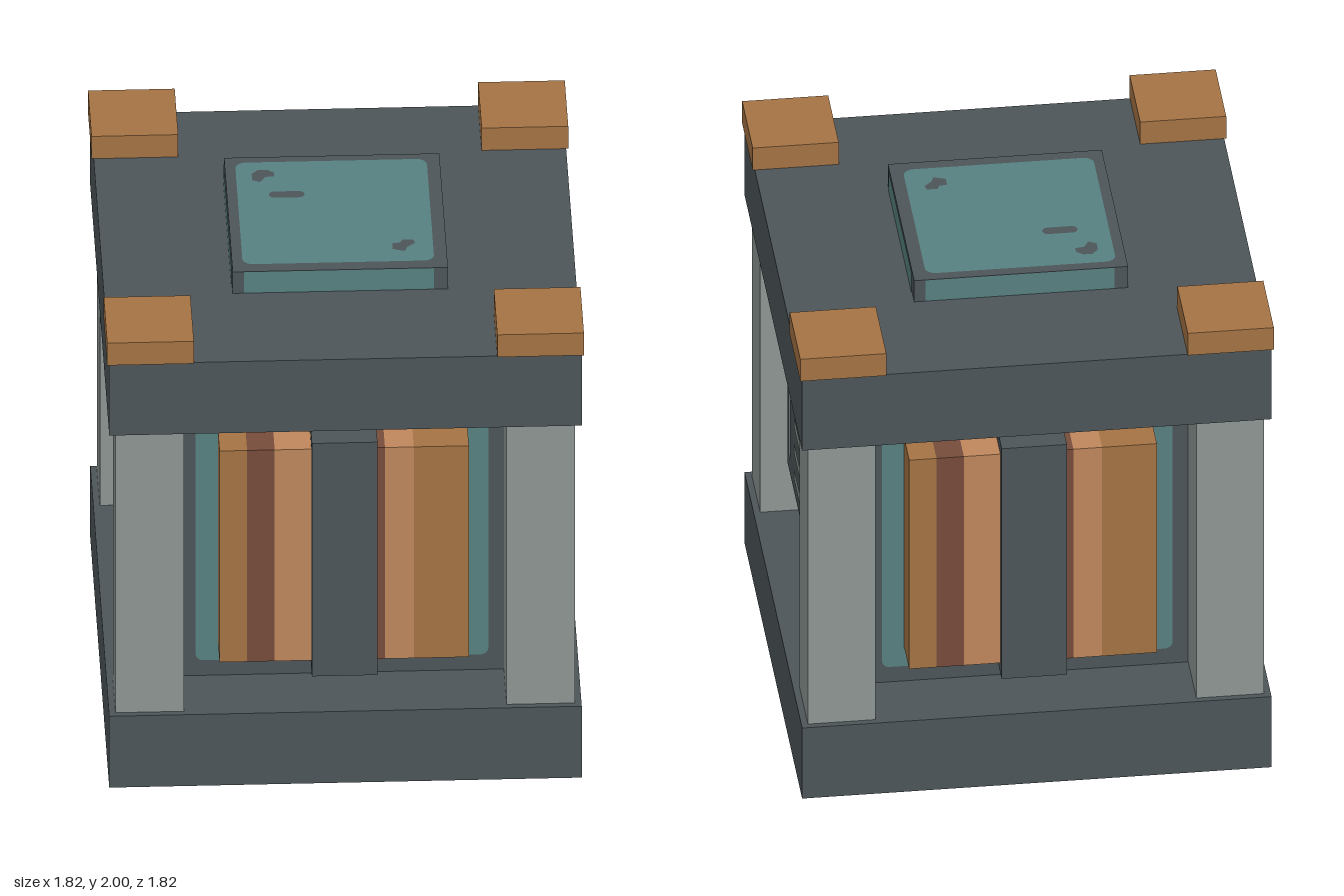
import * as THREE from 'three';

const mat = (name, color) => {
  const m = new THREE.MeshStandardMaterial({ color });
  m.name = name;
  return m;
};

export function createModel() {
  const dark = mat('darkMetal', 0x4c5559);
  const grey = mat('paleMetal', 0x8d9693);
  const teal = mat('tealPanel', 0x578080);
  const copper = mat('copper', 0xa47343);
  const brown = mat('brownCopper', 0x774c3b);
  const light = mat('lightCopper', 0xbf875c);

  const model = new THREE.Group();
  model.name = 'reactorBlock';

  // Box given by its min and max corners
  const box = (parent, name, m, [x0, y0, z0], [x1, y1, z1]) => {
    const g = new THREE.BoxGeometry(x1 - x0, y1 - y0, z1 - z0);
    g.translate((x0 + x1) / 2, (y0 + y1) / 2, (z0 + z1) / 2);
    const mesh = new THREE.Mesh(g, m);
    mesh.name = name;
    parent.add(mesh);
    return mesh;
  };

  // Thin painted face in the local xy plane
  const face = (parent, name, m, shape, z) => {
    const mesh = new THREE.Mesh(new THREE.ShapeGeometry(shape, 4), m);
    mesh.name = name;
    mesh.position.z = z;
    parent.add(mesh);
    return mesh;
  };
  const polygon = (pts) => new THREE.Shape(pts.map(([x, y]) => new THREE.Vector2(x, y)));
  const rounded = (x0, y0, x1, y1, r) => {
    const s = new THREE.Shape();
    s.absarc(x1 - r, y1 - r, r, 0, Math.PI / 2);
    s.absarc(x0 + r, y1 - r, r, Math.PI / 2, Math.PI);
    s.absarc(x0 + r, y0 + r, r, Math.PI, Math.PI * 1.5);
    s.absarc(x1 - r, y0 + r, r, Math.PI * 1.5, Math.PI * 2);
    return s;
  };

  // Slabs and core
  box(model, 'baseSlab', dark, [-0.9, 0, -0.9], [0.9, 0.32, 0.9]);
  box(model, 'topSlab', dark, [-0.9, 1.58, -0.9], [0.9, 1.9, 0.9]);
  box(model, 'core', dark, [-0.62, 0.32, -0.62], [0.62, 1.58, 0.62]);

  // Corner pillars and top corner blocks
  for (const sx of [-1, 1]) {
    for (const sz of [-1, 1]) {
      const span = (a, b, s) => (s > 0 ? [a, b] : [-b, -a]);
      const [px0, px1] = span(0.615, 0.875, sx), [pz0, pz1] = span(0.615, 0.875, sz);
      box(model, 'cornerPillar', grey, [px0, 0.32, pz0], [px1, 1.58, pz1]);
      const [bx0, bx1] = span(0.578, 0.908, sx), [bz0, bz1] = span(0.578, 0.908, sz);
      box(model, 'cornerBlock', copper, [bx0, 1.9, bz0], [bx1, 2, bz1]);
    }
  }

  // Raised lid with teal faces and dark marks
  box(model, 'lid', dark, [-0.41, 1.9, -0.41], [0.41, 1.996, 0.41]);
  const lidTop = new THREE.Group();
  lidTop.name = 'lidTop';
  lidTop.rotation.x = -Math.PI / 2;
  lidTop.position.y = 1.996;
  model.add(lidTop);
  face(lidTop, 'lidPanel', teal, rounded(-0.37, -0.36, 0.36, 0.37, 0.04), 0.002);
  face(lidTop, 'lidMark', dark, rounded(-0.25, 0.11, -0.115, 0.155, 0.022), 0.004);
  face(lidTop, 'lidMark', dark, polygon([[-0.31, 0.24], [-0.28, 0.225], [-0.26, 0.26],
    [-0.225, 0.265], [-0.225, 0.29], [-0.25, 0.312], [-0.285, 0.312], [-0.31, 0.285]]), 0.004);
  face(lidTop, 'lidMark', dark, polygon([[0.205, -0.275], [0.25, -0.292], [0.262, -0.262],
    [0.292, -0.235], [0.285, -0.21], [0.245, -0.21], [0.235, -0.23], [0.205, -0.235]]), 0.004);

  // Teal panels on all four sides of the core and the lid
  for (let i = 0; i < 4; i++) {
    const side = new THREE.Group();
    side.name = 'sidePanel';
    side.rotation.y = i * Math.PI / 2;
    model.add(side);
    face(side, 'panel', teal, rounded(-0.56, 0.39, 0.555, 1.505, 0.03), 0.624);
    face(side, 'upperMark', dark, polygon([[-0.475, 1.2], [-0.32, 1.2], [-0.32, 1.41],
      [-0.335, 1.428], [-0.385, 1.428], [-0.402, 1.41], [-0.402, 1.345], [-0.475, 1.345]]), 0.628);
    face(side, 'lowerMark', dark, polygon([[0.395, 0.7], [0.395, 0.55], [0.32, 0.55],
      [0.32, 0.5], [0.335, 0.48], [0.455, 0.48], [0.475, 0.5], [0.475, 0.7]]), 0.628);
    face(side, 'lidEdge', teal, rounded(-0.367, 1.902, 0.357, 1.996, 0.002), 0.413);
  }

  for (const turn of [0, Math.PI]) {
    // Copper coil in coloured slices with a dark strap, front and back
    const coil = new THREE.Group();
    coil.name = 'coil';
    coil.rotation.y = turn;
    model.add(coil);
    const slices = [[-0.475, copper], [-0.37, brown], [-0.265, light], [-0.1, copper],
      [0.1, brown], [0.155, light], [0.265, copper], [0.475, null]];
    for (let i = 0; i < slices.length - 1; i++) {
      box(coil, 'coilSlice', slices[i][1], [slices[i][0], 0.477, 0.6], [slices[i + 1][0], 1.425, 0.78]);
    }
    box(coil, 'coilStrap', dark, [-0.125, 0.43, 0.6], [0.125, 1.475, 0.82]);

    // Vent box with pale slots, right and left
    const vent = new THREE.Group();
    vent.name = 'vent';
    vent.rotation.y = turn + Math.PI / 2;
    model.add(vent);
    box(vent, 'ventBody', copper, [-0.475, 0.635, 0.6], [0.475, 1.267, 0.785]);
    face(vent, 'ventFace', dark, rounded(-0.475, 0.635, 0.475, 1.267, 0.001), 0.788);
    for (const y of [0.71, 0.828, 0.946, 1.063]) {
      face(vent, 'ventSlot', grey, rounded(-0.24, y, 0.295, y + 0.048, 0.02), 0.792);
    }
    face(vent, 'ventFrame', grey, polygon([[-0.41, 1.228], [-0.41, 0.73], [-0.395, 0.712],
      [-0.365, 0.712], [-0.35, 0.73], [-0.35, 1.16], [-0.33, 1.18], [0.28, 1.18],
      [0.295, 1.195], [0.295, 1.215], [0.28, 1.228]]), 0.792);
  }

  return model;
}
